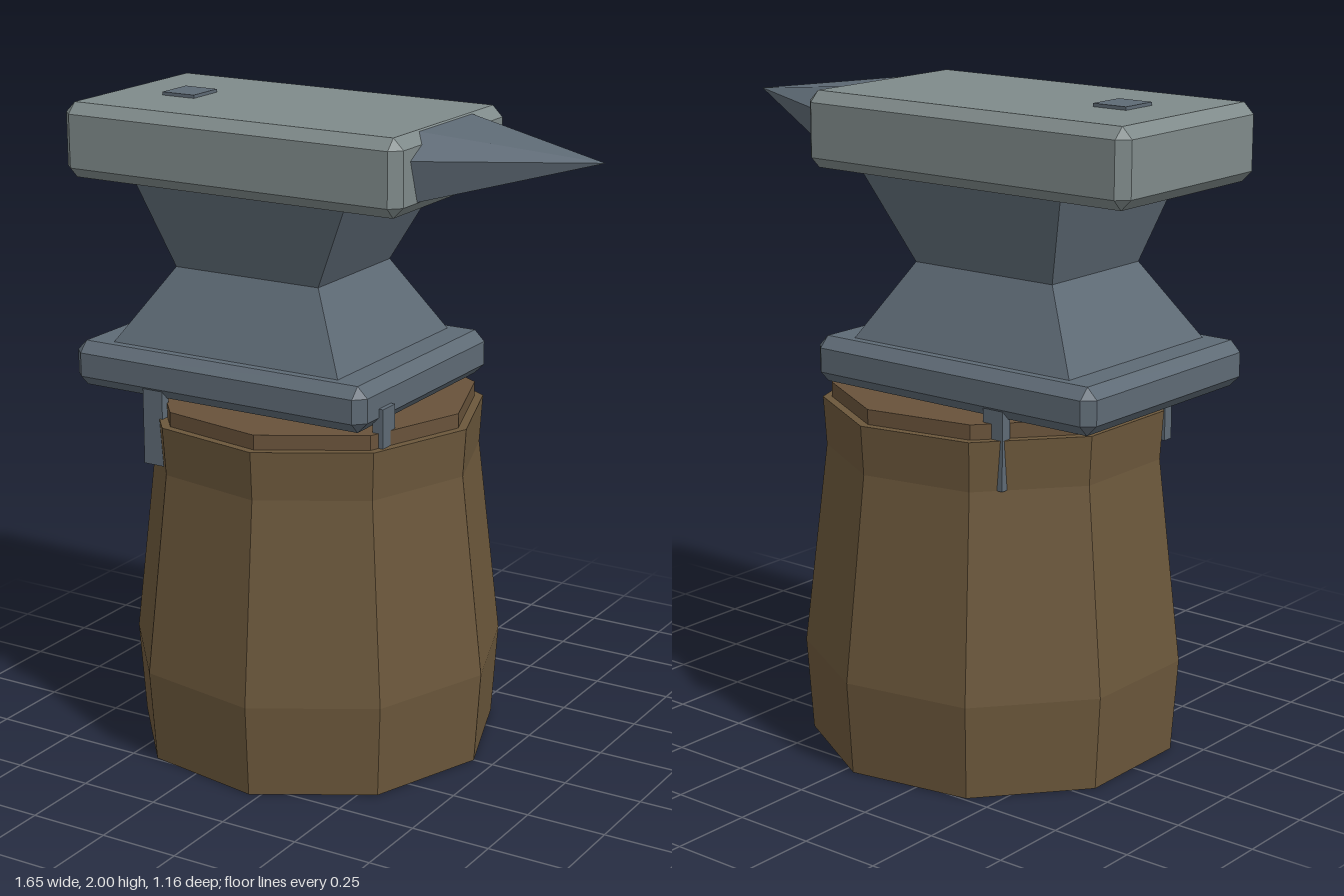
import * as THREE from 'three';
import { ConvexGeometry } from 'three/addons/geometries/ConvexGeometry.js';

const material = (name, color) => {
  const m = new THREE.MeshStandardMaterial({ color });
  m.name = name;
  return m;
};

// Box between two corners with every edge chamfered by c
function chamferedBox(lo, hi, c) {
  const points = [];
  for (let i = 0; i < 8; i++) {
    const side = [i & 1, (i >> 1) & 1, (i >> 2) & 1];
    for (let axis = 0; axis < 3; axis++) {
      const p = side.map((s, k) => {
        const inset = k === axis ? 0 : c;
        return s ? hi[k] - inset : lo[k] + inset;
      });
      points.push(new THREE.Vector3(...p));
    }
  }
  return new ConvexGeometry(points);
}

// Block between two rectangles, each given as [y, xMin, xMax, halfDepth]
function taperedBlock(...rects) {
  const points = [];
  for (const [y, x0, x1, d] of rects)
    for (const x of [x0, x1])
      for (const z of [-d, d]) points.push(new THREE.Vector3(x, y, z));
  return new ConvexGeometry(points);
}

// Faceted nine-sided turned form with a corner towards +x
function nineSided(profile) {
  const points = profile.map(([r, y]) => new THREE.Vector2(r, y));
  const g = new THREE.LatheGeometry(points, 9, Math.PI / 2).toNonIndexed();
  g.computeVertexNormals();
  return g;
}

export function createModel() {
  const model = new THREE.Group();
  model.name = 'anvilOnStump';
  const face = material('paleSteel', 0x7f8a8a);
  const steel = material('blueSteel', 0x5e6a75);
  const bark = material('stumpWood', 0x6b573b);
  const cutWood = material('cutWood', 0x68523a);

  const add = (name, geometry, mat, x = 0, y = 0, z = 0) => {
    const mesh = new THREE.Mesh(geometry, mat);
    mesh.name = name;
    mesh.position.set(x, y, z);
    model.add(mesh);
    return mesh;
  };

  // Stump, with a slightly smaller raised top
  add('stump', nineSided([[0, 0], [0.567, 0], [0.587, 0.29], [0.514, 0.92], [0.524, 1.07], [0, 1.07]]), bark, -0.132);
  add('stumpTop', nineSided([[0.497, 1.07], [0.497, 1.115], [0, 1.115]]), cutWood, -0.132);

  // Anvil foot, waist and working face
  add('foot', chamferedBox([-0.77, 1.13, -0.39], [0.26, 1.27, 0.39], 0.033), steel);
  add('lowerWaist', taperedBlock([1.26, -0.66, 0.15, 0.335], [1.5, -0.5, 0.005, 0.21]), steel);
  add('upperWaist', taperedBlock([1.5, -0.5, 0.005, 0.21], [1.77, -0.588, 0.145, 0.292]), steel);
  add('workingFace', chamferedBox([-0.83, 1.76, -0.33], [0.34, 1.99, 0.33], 0.033), face);

  // Horn: six-sided point, its root sunk into the working face
  const root = [[0.062, 0.15], [0, 0.258], [-0.125, 0.218]];
  const horn = [new THREE.Vector3(0.82, 1.92, 0)];
  for (const [dy, dz] of root)
    for (const s of [-1, 1]) horn.push(new THREE.Vector3(0.3, 1.92 + dy * 1.083, s * dz * 1.083));
  add('horn', new ConvexGeometry(horn), steel);

  // Square tool hole, shown as a thin plate
  add('toolHole', new THREE.BoxGeometry(0.115, 0.02, 0.125), steel, -0.577, 1.99, 0.008);

  // Iron straps holding the foot to the stump
  const strap = new THREE.BoxGeometry(0.07, 0.27, 0.035);
  add('frontStrap', strap, steel, -0.477, 1.055, 0.366);
  add('backStrap', strap, steel, -0.425, 1.055, -0.366);
  add('hornSideStrap', strap, steel, 0.257, 1.055, 0.257).rotation.y = Math.PI / 2;

  return model;
}
